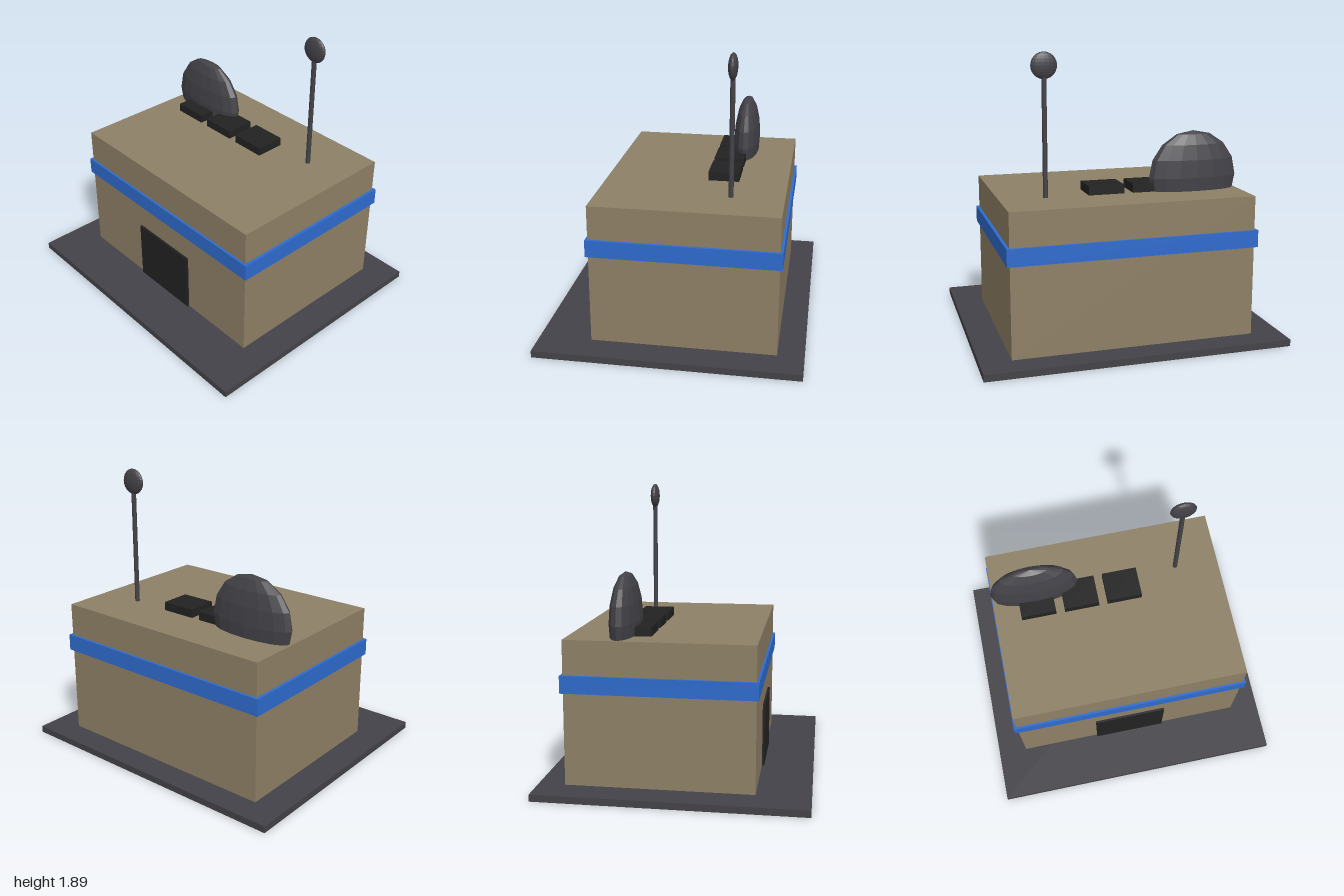
import * as THREE from 'three';

function material(name, color) {
  const m = new THREE.MeshStandardMaterial({ color });
  m.name = name;
  return m;
}

export function createModel() {
  const model = new THREE.Group();
  model.name = 'outpostBuilding';
  const tan = material('tanWall', 0x8e8066);
  const blue = material('blueBand', 0x2e6bce);
  const grey = material('darkGrey', 0x434248);
  const black = material('nearBlack', 0x222222);

  const add = (name, geometry, mat, x, y, z) => {
    const mesh = new THREE.Mesh(geometry, mat);
    mesh.name = name;
    mesh.position.set(x, y, z);
    model.add(mesh);
    return mesh;
  };
  // Box given by its extents along each axis
  const box = (name, mat, x0, x1, y0, y1, z0, z1) =>
    add(name, new THREE.BoxGeometry(x1 - x0, y1 - y0, z1 - z0), mat,
      (x0 + x1) / 2, (y0 + y1) / 2, (z0 + z1) / 2);
  // Faceted sphere flattened front to back
  const disc = (name, r, depth, ws, hs, x, y, z) => {
    const g = new THREE.SphereGeometry(r, ws, hs).scale(1, 1, depth / r).toNonIndexed();
    g.computeVertexNormals();
    return add(name, g, grey, x, y, z);
  };

  // Ground slab, main block and trim band
  box('groundSlab', grey, -1, 1, 0, 0.045, -0.857, 0.857);
  box('mainBlock', tan, -0.8, 0.8, 0.045, 0.975, -0.685, 0.515);
  box('trimBand', blue, -0.82, 0.82, 0.64, 0.752, -0.702, 0.53);
  box('door', black, -0.25, 0.25, 0.045, 0.462, 0.5, 0.53);

  // Row of roof units
  for (const x of [-0.5, -0.2, 0.1]) {
    box('roofUnit', black, x - 0.12, x + 0.12, 0.97, 1.033, -0.365, -0.16);
  }

  // Large roof dish, sunk into the roof
  disc('roofDish', 0.305, 0.09, 16, 8, -0.5, 1.063, -0.345);

  // Mast with a small dish on top
  add('mast', new THREE.CylinderGeometry(0.016, 0.016, 0.85, 12), grey, 0.5, 1.385, -0.345);
  disc('mastDish', 0.085, 0.03, 16, 12, 0.5, 1.81, -0.345);

  return model;
}
